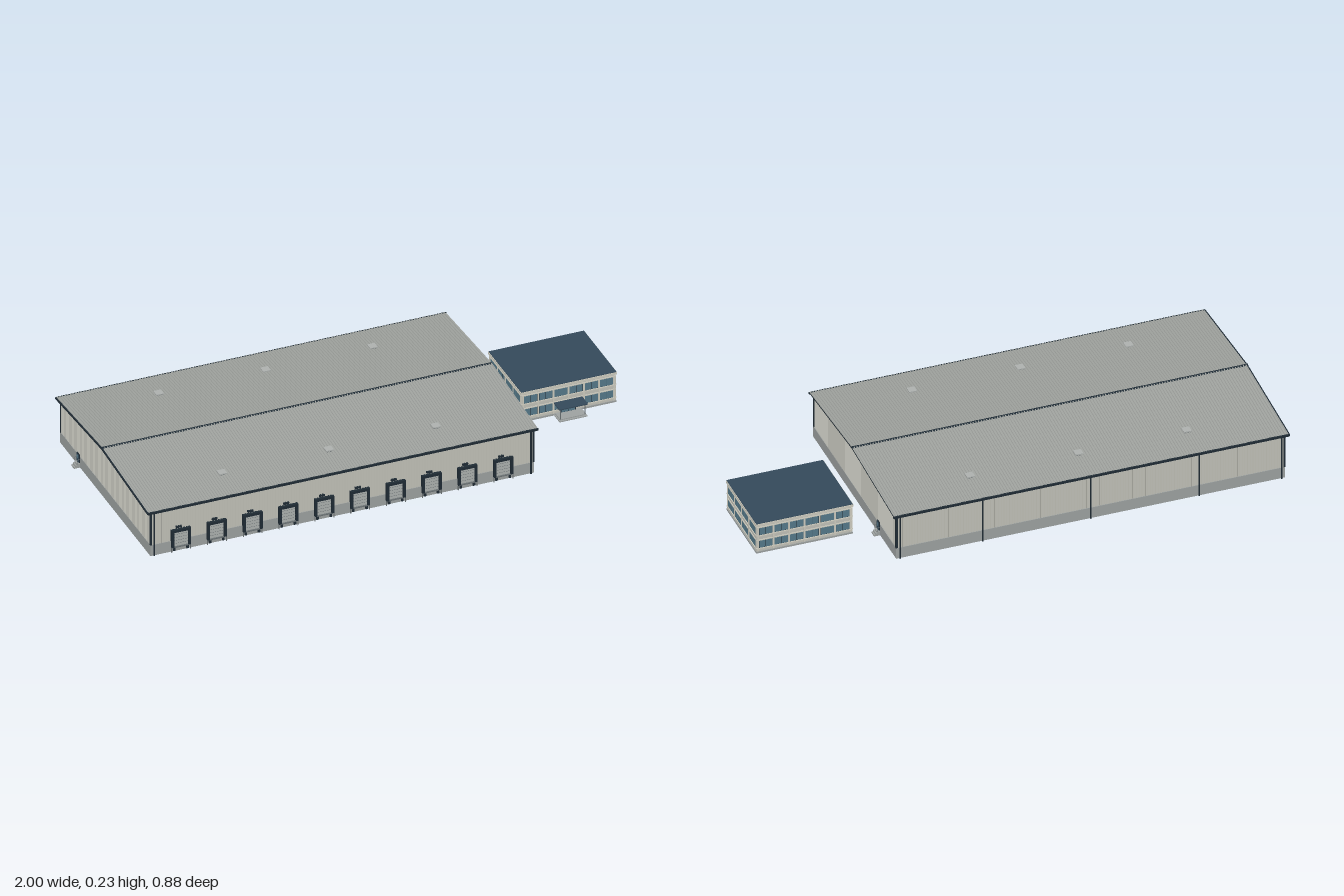
import * as THREE from 'three';

const mat = (name, color) => Object.assign(new THREE.MeshStandardMaterial({ color }), { name });
const M = {
  wall: mat('wall cladding', 0xc2c2b9),
  plinth: mat('concrete plinth', 0x9da2a1),
  roof: mat('roof sheet', 0xa0a39f),
  trim: mat('dark trim', 0x1f2b34),
  navy: mat('office roof', 0x34495a),
  glass: mat('window glass', 0x55798a),
  sill: mat('pale stone', 0xcfcdc0),
  door: mat('dock door', 0xadb1af),
  steel: mat('steel', 0x6b7274),
};

function add(parent, name, geo, material, x = 0, y = 0, z = 0) {
  const m = new THREE.Mesh(geo, material);
  m.name = name;
  m.position.set(x, y, z);
  parent.add(m);
  return m;
}

// box given by its limits on each axis
function box(parent, name, material, x0, x1, y0, y1, z0, z1) {
  return add(parent, name, new THREE.BoxGeometry(x1 - x0, y1 - y0, z1 - z0), material,
    (x0 + x1) / 2, (y0 + y1) / 2, (z0 + z1) / 2);
}

function group(parent, name, x = 0, y = 0, z = 0, turn = 0) {
  const g = new THREE.Group();
  g.name = name;
  g.position.set(x, y, z);
  g.rotation.y = turn;
  parent.add(g);
  return g;
}

// trapezoidal ribbed sheet in the xy plane, facing +z
function ribbed(w, h, pitch, depth) {
  const n = Math.round(w / pitch), g = new THREE.PlaneGeometry(w, h, 4 * n, 1);
  const along = [0, 0.5, 0.62, 0.88], out = [0, 0, depth, depth], p = g.attributes.position;
  for (let i = 0; i < p.count; i++) {
    const c = i % (4 * n + 1);
    p.setX(i, -w / 2 + (Math.floor(c / 4) + along[c % 4]) * w / n);
    p.setZ(i, out[c % 4]);
  }
  const flat = g.toNonIndexed();
  flat.computeVertexNormals();
  return flat;
}

// profile in (z, y) extruded from x0 to x1
function extrudeX(points, x0, x1) {
  const s = new THREE.Shape(points.map(([z, y]) => new THREE.Vector2(z, y)));
  const g = new THREE.ExtrudeGeometry(s, { depth: x1 - x0, bevelEnabled: false });
  return g.rotateY(Math.PI / 2).translate(x0, 0, 0);
}

const X0 = -0.97, X1 = 0.53, XC = -0.22, ZW = 0.423, EAVE = 0.189, RIDGE = 0.221, ZR = 0.437;

function buildWarehouse(root) {
  const g = group(root, 'warehouse');
  // solid body, plinth and ribbed walls
  add(g, 'wallBody', extrudeX([[-ZW, 0.01], [ZW, 0.01], [ZW, EAVE - 0.002], [0, RIDGE - 0.004], [-ZW, EAVE - 0.002]], X0, X1), M.wall);
  box(g, 'plinth', M.plinth, X0 - 0.004, X1 + 0.004, 0, 0.045, -ZW - 0.004, ZW + 0.004);
  for (const s of [1, -1]) {
    const turn = s > 0 ? 0 : Math.PI;
    add(g, 'longWallCladding', ribbed(1.5, 0.144, 0.0105, 0.003), M.wall, XC, 0.117, s * (ZW + 0.0005)).rotation.y = turn;
    add(g, 'endWallCladding', ribbed(2 * ZW, 0.144, 0.0105, 0.003), M.wall, XC + s * 0.7505, 0.117, 0).rotation.y = s * Math.PI / 2;
    // corner trims and gable panel joints
    for (const e of [1, -1]) {
      box(g, 'cornerTrim', M.trim, XC + s * 0.751 - 0.004, XC + s * 0.751 + 0.004, 0.045, EAVE, e * ZW - 0.004, e * ZW + 0.004);
    }
    for (const z of [-0.25, -0.155, -0.048, 0.048, 0.142, 0.25]) {
      const xf = XC + s * 0.75;
      box(g, 'gableJoint', M.steel, xf - 0.001, xf + 0.001, EAVE, RIDGE - 0.004 - Math.abs(z) * 0.08, z - 0.001, z + 0.001);
    }
  }

  // roof: dark edged slab, ribbed sheets, ridge cap and gutters
  const t = 0.005, slope = Math.atan((RIDGE - EAVE) / ZR), len = Math.hypot(ZR, RIDGE - EAVE);
  add(g, 'roofSlab', extrudeX([[-ZR, EAVE - t], [0, RIDGE - t], [ZR, EAVE - t], [ZR, EAVE], [0, RIDGE], [-ZR, EAVE]], -0.99, 0.545), M.trim);
  for (const s of [1, -1]) {
    const side = group(g, 'roofSide', XC, 0, 0, s > 0 ? 0 : Math.PI);
    const sheet = ribbed(1.53, len - 0.005, 0.0105, 0.003).rotateX(-(Math.PI / 2 - slope));
    add(side, 'roofSheet', sheet, M.roof, 0, (EAVE + RIDGE) / 2 + 0.0006, ZR / 2);
    box(side, 'gutter', M.trim, -0.767, 0.767, EAVE - 0.007, EAVE + 0.001, ZR - 0.006, ZR + 0.001);
    // roof vents
    for (const x of [-0.42, 0, 0.42]) {
      box(side, 'ventCurb', M.steel, x - 0.011, x + 0.011, 0.192, 0.205, 0.287, 0.309);
      box(side, 'ventCap', M.door, x - 0.015, x + 0.015, 0.204, 0.208, 0.283, 0.313);
    }
  }
  add(g, 'ridgeCap', extrudeX([[-0.007, RIDGE], [0.007, RIDGE], [0, RIDGE + 0.0045]], -0.99, 0.545), M.trim);

  // downpipes on the back wall
  for (const x of [X0 + 0.01, -0.64, -0.22, 0.2, X1 - 0.01]) {
    add(g, 'downpipe', new THREE.CylinderGeometry(0.003, 0.003, 0.185, 8), M.trim, x, 0.0925, -ZW - 0.007);
  }
  for (const x of [X0 + 0.01, X1 - 0.01]) {
    add(g, 'downpipe', new THREE.CylinderGeometry(0.003, 0.003, 0.185, 8), M.trim, x, 0.0925, ZW + 0.007);
  }

  for (let i = 0; i < 10; i++) buildDock(g, -0.856 + i * 0.1407);
  for (const s of [1, -1]) buildSideDoor(g, s);
}

// loading bay: dark shelter frame, sectional door, leveller and buffers
function buildDock(parent, x) {
  const d = group(parent, 'loadingDock', x, 0, ZW);
  for (const s of [1, -1]) {
    box(d, 'shelterPost', M.trim, s * 0.033 - 0.005, s * 0.033 + 0.005, 0.02, 0.092, 0, 0.014);
    box(d, 'buffer', M.trim, s * 0.026 - 0.004, s * 0.026 + 0.004, 0.004, 0.019, 0.003, 0.011);
    box(d, 'guardPost', M.steel, s * 0.037 - 0.0015, s * 0.037 + 0.0015, 0, 0.02, 0.009, 0.012);
  }
  box(d, 'shelterHead', M.trim, -0.038, 0.038, 0.082, 0.092, 0, 0.014);
  box(d, 'dockDoor', M.door, -0.028, 0.028, 0.02, 0.082, 0, 0.006);
  for (let k = 1; k < 5; k++) box(d, 'doorJoint', M.steel, -0.028, 0.028, 0.0195 + k * 0.0125, 0.0205 + k * 0.0125, 0.005, 0.0065);
  box(d, 'leveller', M.steel, -0.03, 0.03, 0.017, 0.021, 0.003, 0.012);
  box(d, 'dockLamp', M.trim, -0.018, 0.004, 0.097, 0.104, 0, 0.008);
}

// personnel door with landing, steps and handrail on each end wall
function buildSideDoor(parent, s) {
  const d = group(parent, 'sideEntrance', XC + s * 0.754, 0, -0.25, s * Math.PI / 2);
  box(d, 'doorFrame', M.trim, -0.012, 0.012, 0.02, 0.054, 0, 0.004);
  box(d, 'doorLeaf', M.navy, -0.01, 0.01, 0.02, 0.052, 0.003, 0.005);
  box(d, 'doorWindow', M.glass, -0.005, 0.006, 0.036, 0.048, 0.004, 0.006);
  box(d, 'landing', M.plinth, -0.013, 0.013, 0, 0.018, 0, 0.012);
  box(d, 'step', M.plinth, -0.013, 0.013, 0, 0.012, 0.012, 0.018);
  box(d, 'step', M.plinth, -0.013, 0.013, 0, 0.006, 0.018, 0.024);
  for (const e of [1, -1]) {
    box(d, 'railPost', M.steel, e * 0.0125 - 0.0007, e * 0.0125 + 0.0007, 0.016, 0.034, 0.01, 0.0115);
    box(d, 'handrail', M.steel, e * 0.0125 - 0.0007, e * 0.0125 + 0.0007, 0.033, 0.0345, 0, 0.0115);
  }
}

// two rows of windows with mullions, sills and piers, facing +z
function buildFacade(parent, w, bays, panes, x, z, turn) {
  const f = group(parent, 'officeFacade', x, 0, z, turn), step = (w - 0.01) / bays;
  for (const y of [0.022, 0.077]) {
    for (let i = 0; i < bays; i++) {
      const a = -w / 2 + 0.005 + i * step + 0.0035, b = a + step - 0.007, p = (b - a) / panes;
      box(f, 'windowFrame', M.trim, a, b, y - 0.001, y + 0.031, -0.001, 0.0008);
      for (let k = 0; k < panes; k++) {
        box(f, 'windowPane', M.glass, a + k * p + 0.0008, a + (k + 1) * p - 0.0008, y, y + 0.03, -0.001, 0.0014);
      }
    }
    box(f, 'sill', M.sill, -w / 2, w / 2, y - 0.005, y - 0.001, 0, 0.004);
    box(f, 'lintel', M.sill, -w / 2, w / 2, y + 0.031, y + 0.035, 0, 0.003);
  }
  for (let i = 0; i <= bays; i++) {
    const c = -w / 2 + 0.005 + i * step;
    box(f, 'pier', M.sill, c - 0.003, c + 0.003, 0.008, 0.112, 0, 0.003);
  }
}

function buildOffice(root) {
  const g = group(root, 'office');
  const x0 = 0.626, x1 = 0.994, z0 = -0.214, z1 = 0.087, xc = (x0 + x1) / 2, zc = (z0 + z1) / 2;
  box(g, 'officeBody', M.wall, x0, x1, 0, 0.122, z0, z1);
  box(g, 'officeBase', M.plinth, x0 - 0.003, x1 + 0.003, 0, 0.007, z0 - 0.003, z1 + 0.003);
  box(g, 'cornice', M.sill, x0 - 0.005, x1 + 0.005, 0.118, 0.127, z0 - 0.005, z1 + 0.005);
  box(g, 'officeRoof', M.navy, x0 - 0.003, x1 + 0.003, 0.126, 0.1295, z0 - 0.003, z1 + 0.003);
  buildFacade(g, x1 - x0, 6, 2, xc, z1, 0);
  buildFacade(g, x1 - x0, 6, 2, xc, z0, Math.PI);
  buildFacade(g, z1 - z0, 4, 3, x1, zc, Math.PI / 2);
  buildFacade(g, z1 - z0, 4, 3, x0, zc, -Math.PI / 2);

  // entrance: doors, canopy on slim posts, low steps
  const e = group(g, 'entrance', 0.807, 0, z1);
  box(e, 'entranceFrame', M.trim, -0.03, 0.03, 0.007, 0.047, 0, 0.005);
  for (const s of [1, -1]) {
    box(e, 'entranceDoor', M.glass, s * 0.014 - 0.0125, s * 0.014 + 0.0125, 0.008, 0.045, 0.004, 0.006);
    add(e, 'canopyPost', new THREE.CylinderGeometry(0.002, 0.002, 0.048, 8), M.steel, s * 0.048, 0.027, 0.046);
  }
  box(e, 'canopy', M.navy, -0.056, 0.056, 0.051, 0.055, 0, 0.057);
  box(e, 'upperStep', M.plinth, -0.05, 0.05, 0, 0.007, 0, 0.048);
  box(e, 'lowerStep', M.plinth, -0.055, 0.055, 0, 0.0035, 0, 0.056);
}

export function createModel() {
  const root = new THREE.Group();
  root.name = 'warehouseWithOffice';
  buildWarehouse(root);
  buildOffice(root);
  return root;
}
